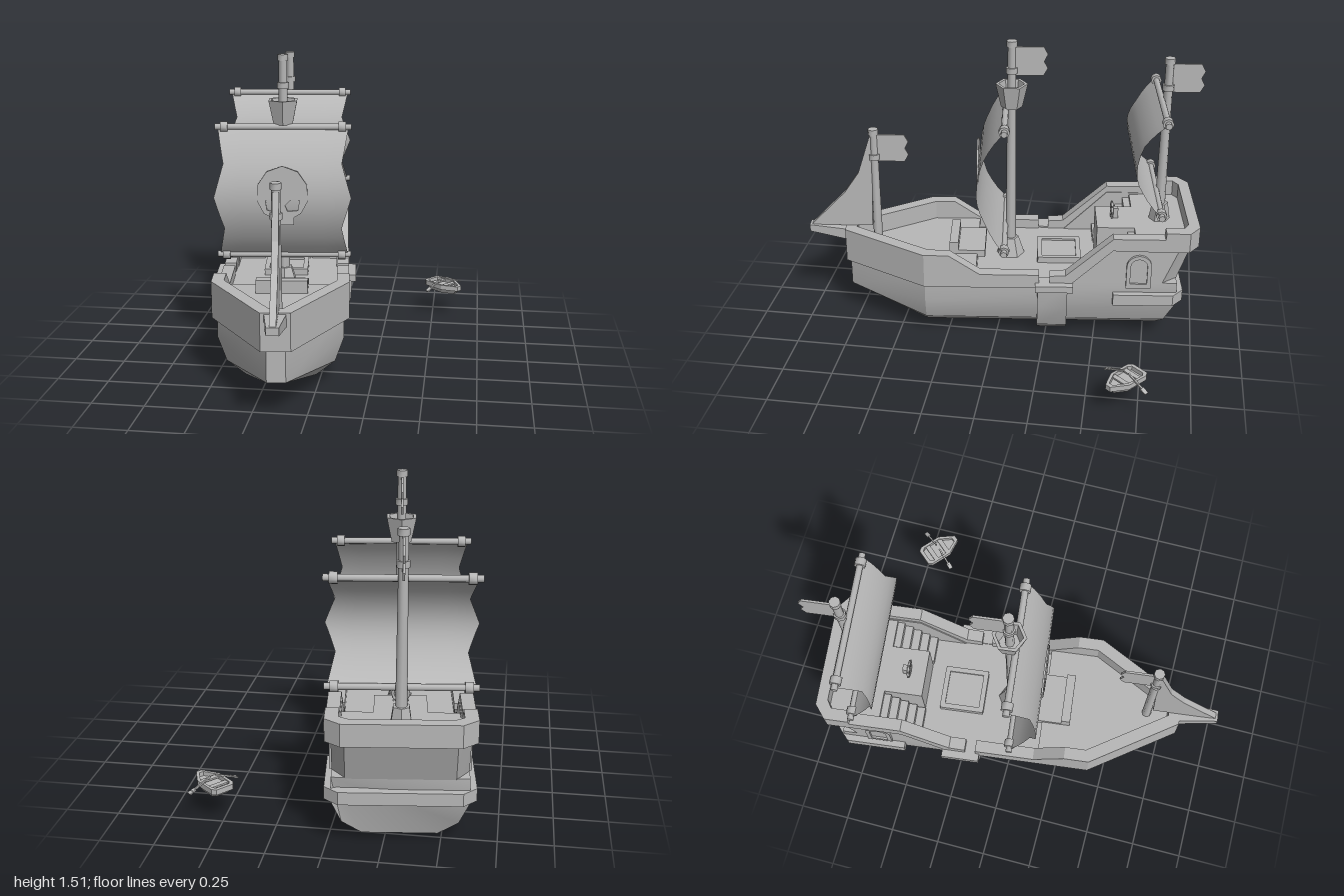
import * as THREE from 'three';
import { toCreasedNormals } from 'three/addons/utils/BufferGeometryUtils.js';

const grey = new THREE.MeshStandardMaterial({ color: 0xb8b8b8, side: THREE.DoubleSide });
grey.name = 'plain grey';

function add(parent, name, geo, x = 0, y = 0, z = 0) {
  const m = new THREE.Mesh(geo, grey);
  m.name = name;
  m.position.set(x, y, z);
  parent.add(m);
  return m;
}
const box = (p, n, w, h, d, x, y, z) => add(p, n, new THREE.BoxGeometry(w, h, d), x, y, z);
const cyl = (p, n, r1, r2, y0, y1, z, sides = 8) =>
  add(p, n, toCreasedNormals(new THREE.CylinderGeometry(r1, r2, y1 - y0, sides), 0.9), 0, (y0 + y1) / 2, z);

// Skin a row of equal-length closed rings, with end caps; faces always point outward
function loft(rings, crease = 0.45) {
  const n = rings[0].length, tris = [];
  for (let i = 0; i < rings.length - 1; i++)
    for (let j = 0; j < n; j++) {
      const a = rings[i][j], b = rings[i][(j + 1) % n], c = rings[i + 1][(j + 1) % n], d = rings[i + 1][j];
      tris.push([a, b, c], [a, c, d]);
    }
  const end = rings[rings.length - 1];
  for (let j = 1; j < n - 1; j++) tris.push([rings[0][0], rings[0][j + 1], rings[0][j]], [end[0], end[j], end[j + 1]]);
  let volume = 0;
  for (const [a, b, c] of tris)
    volume += a[0] * (b[1] * c[2] - b[2] * c[1]) + a[1] * (b[2] * c[0] - b[0] * c[2]) + a[2] * (b[0] * c[1] - b[1] * c[0]);
  if (volume < 0) tris.forEach(t => t.reverse());
  const g = new THREE.BufferGeometry();
  g.setAttribute('position', new THREE.Float32BufferAttribute(tris.flat(2), 3));
  return toCreasedNormals(g, crease);
}
const mirrored = half => [...half, ...half.slice().reverse().map(([x, ...r]) => [-x, ...r])];

// Rail: each station is [outer x, outer z, inner x, inner z, bottom y, top y]
const railGeo = half => loft(half.map(([x, z, xi, zi, b, t]) => [[x, b, z], [x, t, z], [xi, t, zi], [xi, b, zi]]), 0.2);
// Symmetric rail running round one end of the ship
const roundRail = half => railGeo([...half, ...half.slice().reverse().map(([x, z, xi, zi, b, t]) => [-x, z, -xi, zi, b, t])]);
// Slab from half-plan points [x, z]
const slab = (half, y0, y1, half2 = half) =>
  loft([mirrored(half).map(([x, z]) => [x, y0, z]), mirrored(half2).map(([x, z]) => [x, y1, z])]);

const shapeOf = pts => new THREE.Shape(pts.map(p => new THREE.Vector2(...p)));
// Extrude a (z, y) outline across the ship, centred on x = 0
function sideExtrude(shape, depth) {
  const g = new THREE.ExtrudeGeometry(shape, { depth, bevelEnabled: false, curveSegments: 6 });
  return g.translate(0, 0, -depth / 2).rotateY(-Math.PI / 2);
}

function buildHull(ship) {
  const section = [[0.3, 0.345], [0.3, 0.224], [0.258, 0.104], [0.169, 0.034]];
  const ring = zs => mirrored(section.map(([x, y], i) => [x, y, zs[i]]));
  const bow = mirrored([0.345, 0.168, 0.168, 0.168].map(y => [0.043, y, 0.84]));
  add(ship, 'hull', loft([ring([-0.84, -0.84, -0.79, -0.76]), ring([0.43, 0.43, 0.43, 0.43]), bow]));

  // Bow bulwark, stepping down amidships
  add(ship, 'bowBulwark', roundRail([
    [0.325, -0.147, 0.265, -0.147, 0.32, 0.395], [0.325, 0.15, 0.265, 0.15, 0.32, 0.395],
    [0.325, 0.306, 0.265, 0.306, 0.32, 0.5], [0.325, 0.43, 0.265, 0.41, 0.32, 0.5],
    [0.067, 0.857, 0.03, 0.8, 0.32, 0.5]]));
  add(ship, 'foreDeck', slab([[0.27, 0.17], [0.27, 0.415], [0.035, 0.81]], 0.34, 0.4));

  // Stern rail, climbing to the raised deck
  add(ship, 'sternRail', roundRail([
    [0.325, -0.2, 0.265, -0.2, 0.32, 0.39], [0.325, -0.28, 0.265, -0.28, 0.32, 0.395],
    [0.325, -0.51, 0.265, -0.51, 0.54, 0.605], [0.325, -0.765, 0.265, -0.765, 0.535, 0.605],
    [0.325, -0.768, 0.265, -0.768, 0.535, 0.64], [0.325, -0.885, 0.265, -0.86, 0.535, 0.64],
    [0.256, -0.94, 0.225, -0.885, 0.535, 0.64]]));
  add(ship, 'sternBlock', slab([[0.3, -0.63], [0.3, -0.74], [0.24, -0.82]], 0.28, 0.56,
    [[0.3, -0.63], [0.3, -0.85], [0.24, -0.915]]));
  add(ship, 'sternLowerRail', slab([[0.332, -0.52], [0.332, -0.82], [0.27, -0.875]], 0.23, 0.29));

  // Midship strap wrapped round the hull
  const strap = [[0.345, 0.345], [0.335, 0.21], [0.285, 0.08], [0.18, 0]];
  add(ship, 'midshipStrap', loft([-0.29, -0.14].map(z => mirrored(strap.map(([x, y]) => [x, y, z])))));

  for (const s of [1, -1]) {
    box(ship, 'strapCap', 0.09, 0.035, 0.19, s * 0.318, 0.334, -0.222);
    const wall = sideExtrude(shapeOf([[-0.2, 0.3], [-0.28, 0.34], [-0.51, 0.57], [-0.68, 0.57], [-0.68, 0.3]]), 0.04);
    add(ship, 'sternSideWall', wall, s * 0.28);
    // Arched side window with a raised frame
    const arch = (w, y0, y1) => {
      const a = new THREE.Shape();
      a.moveTo(-w, y0); a.lineTo(w, y0); a.lineTo(w, y1 - w);
      a.absarc(0, y1 - w, w, 0, Math.PI);
      return a;
    };
    const frame = arch(0.062, 0.32, 0.505);
    frame.holes.push(arch(0.042, 0.345, 0.485));
    add(ship, 'windowFrame', sideExtrude(frame, 0.024), s * 0.302, 0, -0.645);
    add(ship, 'windowPane', sideExtrude(arch(0.043, 0.34, 0.487), 0.008), s * 0.3, 0, -0.645);
    // Stairs to the raised deck
    for (let i = 0; i < 5; i++)
      box(ship, 'stair', 0.135, 0.04 * (i + 1), 0.04, s * 0.195, 0.34 + 0.02 * (i + 1), -0.455 - i * 0.04);
  }
}

function buildDeckFittings(ship) {
  box(ship, 'helmPlatform', 0.24, 0.215, 0.2, 0, 0.4525, -0.54);
  box(ship, 'helmPost', 0.03, 0.06, 0.025, 0, 0.585, -0.54);
  add(ship, 'wheelRim', new THREE.TorusGeometry(0.036, 0.007, 6, 12), 0, 0.603, -0.52);
  for (let i = 0; i < 4; i++) box(ship, 'wheelSpoke', 0.096, 0.007, 0.007, 0, 0.603, -0.52).rotation.z = i * Math.PI / 4;
  box(ship, 'hatch', 0.21, 0.025, 0.22, 0, 0.355, -0.252);
  for (const s of [1, -1]) {
    box(ship, 'hatchFrame', 0.025, 0.035, 0.22, s * 0.1, 0.36, -0.252);
    box(ship, 'hatchFrame', 0.21, 0.035, 0.025, 0, 0.36, -0.252 + s * 0.1);
  }
  box(ship, 'foreStep', 0.25, 0.04, 0.14, 0, 0.4, 0.2);
  box(ship, 'foreBench', 0.25, 0.07, 0.045, 0, 0.43, 0.29);
}

// Mast with cap, ring and swallow-tailed flag
function buildMast(ship, z, y0, y1, r) {
  cyl(ship, 'mast', 0.02, r, y0, y1, z);
  cyl(ship, 'mastCap', 0.026, 0.026, y1 - 0.03, y1, z);
  cyl(ship, 'mastRing', 0.029, 0.029, y1 - 0.165, y1 - 0.135, z);
  const t = y1 - 0.03, b = t - 0.145, e = z - 0.175;
  add(ship, 'flag', sideExtrude(shapeOf([[z, t], [e + 0.02, t], [e, t - 0.037], [e + 0.018, t - 0.073],
    [e, t - 0.108], [e + 0.02, b], [z, b]]), 0.01));
}

// Billowing square sail between two yards
function buildSail(ship, z, y0, y1) {
  const edge = [0.32, 0.287, 0.333, 0.287, 0.32];
  const g = new THREE.PlaneGeometry(2, 1, 6, 12), p = g.attributes.position;
  for (let i = 0; i < p.count; i++) {
    const v = p.getY(i) + 0.5, k = Math.min(3, Math.floor(v * 4));
    const w = THREE.MathUtils.lerp(edge[k], edge[k + 1], v * 4 - k);
    p.setXYZ(i, p.getX(i) * w, y0 + (y1 - y0) * v, z + 0.135 * Math.pow(Math.max(0, Math.sin(Math.PI * v)), 0.85));
  }
  g.computeVertexNormals();
  add(ship, 'sail', g);
  for (const y of [y0, y1]) {
    add(ship, 'yard', new THREE.CylinderGeometry(0.016, 0.016, 0.666, 8).rotateZ(Math.PI / 2), 0, y, z);
    for (const s of [1, -1])
      add(ship, 'yardRing', toCreasedNormals(new THREE.CylinderGeometry(0.027, 0.027, 0.036, 8).rotateZ(Math.PI / 2), 0.9), s * 0.288, y, z);
  }
}

function buildRigging(ship) {
  buildMast(ship, 0, 0.34, 1.51, 0.027);
  buildMast(ship, -0.765, 0.54, 1.43, 0.027);
  buildMast(ship, 0.695, 0.38, 1.04, 0.024);
  cyl(ship, 'mainMastFoot', 0.04, 0.072, 0.345, 0.44, 0, 6);
  cyl(ship, 'rearMastFoot', 0.04, 0.055, 0.555, 0.65, -0.765, 6);
  buildSail(ship, 0.03, 0.512, 1.16);
  buildSail(ship, -0.738, 0.725, 1.21);

  // Lookout basket
  const profile = [[0, 1.17], [0.053, 1.17], [0.08, 1.29], [0.064, 1.29], [0.05, 1.2], [0, 1.2]];
  add(ship, 'lookoutBasket', toCreasedNormals(new THREE.LatheGeometry(profile.map(p => new THREE.Vector2(...p)), 6), 0.3));

  // Skull emblem with eye and nose openings
  const skull = shapeOf([[0, 0.995], [0.075, 0.967], [0.12, 0.9], [0.122, 0.82], [0.09, 0.76], [0.055, 0.74],
    [0.055, 0.702], [-0.055, 0.702], [-0.055, 0.74], [-0.09, 0.76], [-0.122, 0.82], [-0.12, 0.9], [-0.075, 0.967]]);
  for (const s of [1, -1])
    skull.holes.push(new THREE.Path([[0.012, 0.8], [0.05, 0.835], [0.082, 0.825], [0.075, 0.775], [0.025, 0.77]]
      .map(([x, y]) => new THREE.Vector2(s * x, y))));
  add(ship, 'skullEmblem', new THREE.ExtrudeGeometry(skull, { depth: 0.009, bevelEnabled: false }), 0, 0, 0.162);

  // Bowsprit and triangular foresail
  const end = (w, y0, y1, z) => [[w, y0, z], [w, y1, z], [-w, y1, z], [-w, y0, z]];
  add(ship, 'bowsprit', loft([end(0.055, 0.425, 0.49, 0.8), end(0.028, 0.468, 0.505, 1.047)]));
  add(ship, 'foresail', sideExtrude(shapeOf([[0.7, 1], [0.715, 1], [0.78, 0.8], [0.855, 0.69], [1.04, 0.5], [0.72, 0.5]]), 0.03));
}

function buildRowboat() {
  const boat = new THREE.Group();
  boat.name = 'rowboat';
  const plan = [[0.045, -0.1], [0.06, -0.08], [0.06, 0.035], [0.015, 0.115]];
  const scaled = k => plan.map(([x, z]) => [x * k, z * k]);
  add(boat, 'boatHull', slab(scaled(0.72), 0.127, 0.155, scaled(0.93)));
  const loop = mirrored(plan);
  const rim = [...loop, loop[0]].map(([x, z]) => [x, z, x * 0.78, z * 0.82, 0.15, 0.176]);
  add(boat, 'boatRim', railGeo(rim));
  for (const z of [-0.045, 0.03]) box(boat, 'boatSeat', 0.1, 0.008, 0.025, 0, 0.166, z);
  for (const s of [1, -1]) {
    const oar = new THREE.Group();
    oar.name = 'oar';
    box(oar, 'oarShaft', 0.11, 0.008, 0.008, 0, 0, 0);
    box(oar, 'oarBlade', 0.035, 0.006, 0.022, s * 0.055, 0, 0);
    oar.position.set(s * 0.065, 0.176, -0.005);
    oar.rotation.z = -s * 0.4;
    boat.add(oar);
  }
  boat.position.set(0.56, 0, -0.685);
  boat.rotation.y = 0.85;
  return boat;
}

export function createModel() {
  const model = new THREE.Group();
  model.name = 'sailingShipAndRowboat';
  const ship = new THREE.Group();
  ship.name = 'ship';
  buildHull(ship);
  buildDeckFittings(ship);
  buildRigging(ship);
  ship.position.set(-0.23, 0, -0.04);
  ship.rotation.y = 0.117;
  model.add(ship, buildRowboat());
  return model;
}
